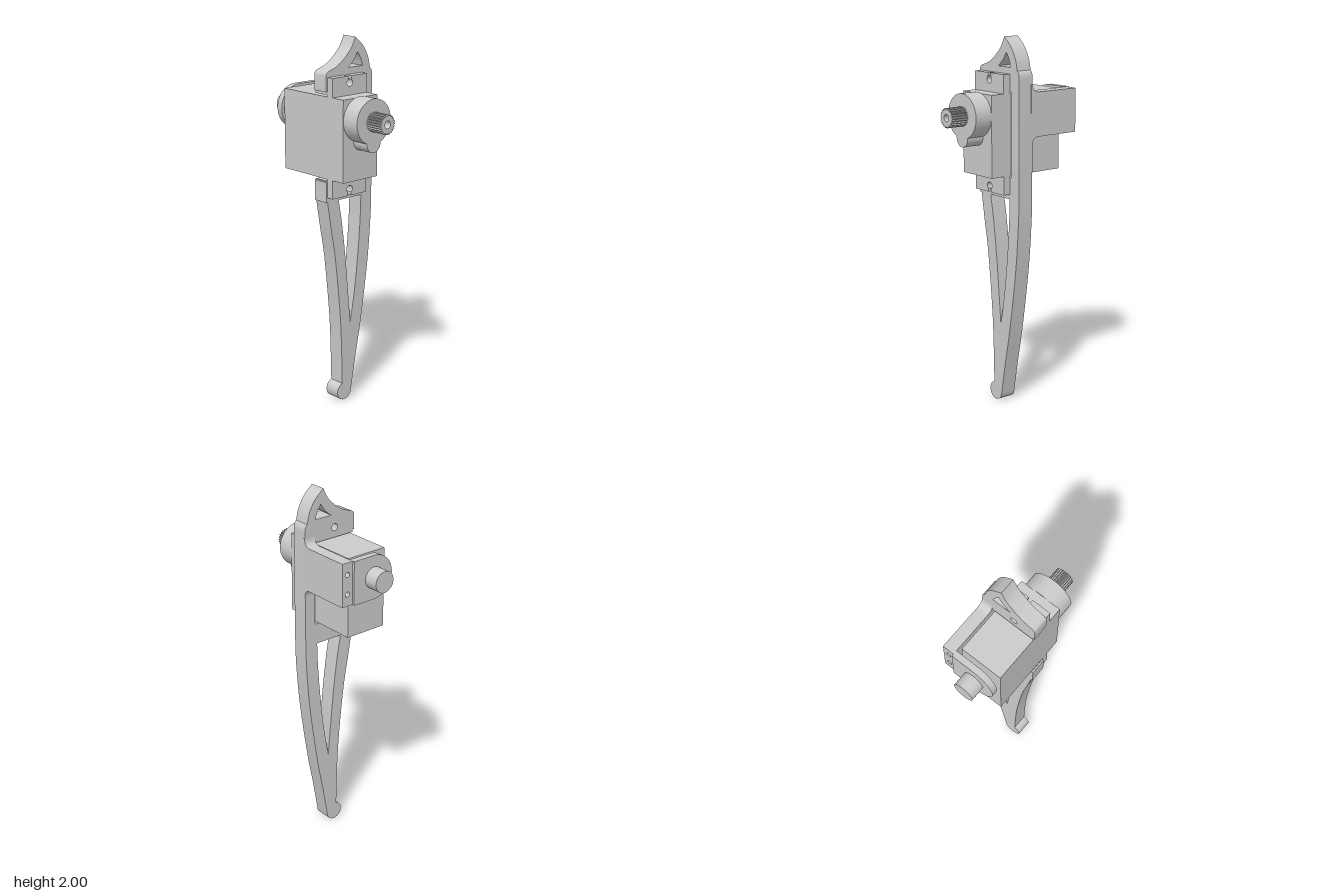
import * as THREE from 'three';
import { toCreasedNormals } from 'three/addons/utils/BufferGeometryUtils.js';

const AXIS_Y = 1.597, AXIS_Z = 0.035;
const material = new THREE.MeshStandardMaterial({ color: 0xcccccc });
const vec = (pts) => pts.map(([x, y]) => new THREE.Vector2(x, y));

function addMesh(group, name, geometry) {
  const mesh = new THREE.Mesh(geometry, material);
  mesh.name = name;
  group.add(mesh);
  return mesh;
}

// Side profile drawn in (-z, y), extruded along x from x0 to x1
function sideExtrude(group, name, shape, x0, x1) {
  const g = new THREE.ExtrudeGeometry(shape, { depth: x1 - x0, bevelEnabled: false, curveSegments: 24 });
  g.rotateY(Math.PI / 2).translate(x0, 0, 0);
  return addMesh(group, name, toCreasedNormals(g, 0.5));
}

function box(group, name, x0, x1, y0, y1, z0, z1) {
  const g = new THREE.BoxGeometry(x1 - x0, y1 - y0, z1 - z0);
  g.translate((x0 + x1) / 2, (y0 + y1) / 2, (z0 + z1) / 2);
  return addMesh(group, name, g);
}

function cylinderX(group, name, r, x0, x1, y, z) {
  const g = new THREE.CylinderGeometry(r, r, x1 - x0, 48);
  g.rotateZ(Math.PI / 2).translate((x0 + x1) / 2, y, z);
  return addMesh(group, name, g);
}

function circleHole(x, y, r) {
  return new THREE.Path().absarc(x, y, r, 0, Math.PI * 2, true);
}

// Curved leg with the servo window, the horn on top and the round foot
function legShape() {
  const s = new THREE.Shape();
  s.absarc(-0.035, 0.05, 0.05, 1.87, 5.98, false);
  s.splineThru(vec([[0.045, 0.22], [0.087, 0.44], [0.135, 0.77], [0.157, 1.03], [0.161, 1.2]]));
  s.lineTo(0.161, 1.79);
  s.quadraticCurveTo(0.16, 1.82, 0.145, 1.83);
  s.splineThru(vec([[0.13, 1.89], [0.095, 1.95], [0.04, 2]]));
  s.splineThru(vec([[0.008, 1.94], [-0.05, 1.885], [-0.095, 1.857], [-0.135, 1.843]]));
  s.quadraticCurveTo(-0.164, 1.835, -0.164, 1.815);
  [[-0.164, 1.735], [-0.155, 1.735], [-0.155, 1.72], [0.097, 1.72], [0.097, 1.265],
    [-0.155, 1.265], [-0.155, 1.26], [-0.164, 1.26], [-0.164, 1.15], [-0.155, 1.15]]
    .forEach(([x, y]) => s.lineTo(x, y));
  s.splineThru(vec([[-0.13, 1], [-0.098, 0.81], [-0.062, 0.45], [-0.05, 0.098]]));

  const gap = new THREE.Path().moveTo(-0.077, 1.15);
  gap.splineThru(vec([[-0.055, 1.03], [-0.031, 0.85], [-0.008, 0.62], [0.008, 0.44]]));
  gap.splineThru(vec([[0.042, 0.64], [0.066, 0.85], [0.08, 1.03], [0.084, 1.15]]));
  const hornGap = new THREE.Path().moveTo(-0.012, 1.845);
  hornGap.quadraticCurveTo(0.03, 1.87, 0.055, 1.92);
  hornGap.quadraticCurveTo(0.082, 1.89, 0.092, 1.845);
  s.holes.push(gap, hornGap, circleHole(-AXIS_Z, 1.775, 0.02), circleHole(-AXIS_Z, 1.21, 0.02));
  return s;
}

// Mounting ear with a hole slotted out to its end; dir is +1 for the top ear
function earShape(dir) {
  const y = (v) => 1.4925 + dir * v;
  const s = new THREE.Shape(), c = -AXIS_Z;
  s.moveTo(-0.155, y(0.21));
  [[0.085, 0.21], [0.085, 0.3175], [c + 0.011, 0.3175]].forEach(([x, v]) => s.lineTo(x, y(v)));
  for (let i = 0; i <= 20; i++) {
    const a = 0.58 + (i / 20) * (Math.PI * 2 - 1.16);
    s.lineTo(c + 0.02 * Math.sin(a), y(0.2825 + 0.02 * Math.cos(a)));
  }
  s.lineTo(c - 0.011, y(0.3175));
  s.lineTo(-0.155, y(0.3175));
  return s;
}

function buildServo() {
  const servo = new THREE.Group();
  servo.name = 'servo';
  box(servo, 'servoBody', -0.26, 0.2, 1.275, 1.71, -0.085, 0.155);
  sideExtrude(servo, 'upperEar', earShape(1), 0.08, 0.12);
  sideExtrude(servo, 'lowerEar', earShape(-1), 0.08, 0.12);
  cylinderX(servo, 'gearHousing', 0.119, 0.2, 0.3, AXIS_Y, AXIS_Z);
  cylinderX(servo, 'smallGearHousing', 0.047, 0.2, 0.3, 1.482, AXIS_Z);

  // Splined output shaft with a screw hole
  const teeth = 24, pts = [];
  for (let i = 0; i < teeth * 4; i++) {
    const a = (i / (teeth * 4)) * Math.PI * 2, r = i % 4 < 2 ? 0.052 : 0.045;
    pts.push(new THREE.Vector2(-AXIS_Z + r * Math.cos(a), AXIS_Y + r * Math.sin(a)));
  }
  const spline = new THREE.Shape(pts);
  spline.holes.push(circleHole(-AXIS_Z, AXIS_Y, 0.02));
  sideExtrude(servo, 'splinedShaft', spline, 0.3, 0.4);
  return servo;
}

function buildBracket() {
  const bracket = new THREE.Group();
  bracket.name = 'pivotBracket';
  // Rear arm with fillets where it joins the leg
  const arm = new THREE.Shape().moveTo(-0.25, 1.48);
  arm.lineTo(-0.05, 1.48);
  arm.quadraticCurveTo(-0.01, 1.48, -0.01, 1.435);
  arm.lineTo(0.0, 1.435);
  arm.lineTo(0.0, 1.76);
  arm.lineTo(-0.01, 1.76);
  arm.quadraticCurveTo(-0.01, 1.715, -0.055, 1.715);
  arm.lineTo(-0.25, 1.715);
  const g = new THREE.ExtrudeGeometry(arm, { depth: 0.066, bevelEnabled: false, curveSegments: 16 });
  addMesh(bracket, 'rearArm', toCreasedNormals(g.translate(0, 0, -0.163), 0.5));

  // Arm end with two screw holes
  const end = new THREE.Shape(vec([[0.097, 1.48], [0.163, 1.48], [0.163, 1.715], [0.097, 1.715]]));
  end.holes.push(circleHole(0.13, 1.545, 0.014), circleHole(0.13, 1.65, 0.014));
  sideExtrude(bracket, 'armEnd', end, -0.308, -0.25);

  // Round-nosed plate and its pivot pin
  const plate = new THREE.Shape().moveTo(0.097, 1.479);
  plate.lineTo(0.097, 1.716);
  plate.lineTo(-AXIS_Z, 1.716);
  plate.absarc(-AXIS_Z, AXIS_Y, 0.119, Math.PI / 2, Math.PI * 1.5, false);
  sideExtrude(bracket, 'pivotPlate', plate, -0.32, -0.285);
  cylinderX(bracket, 'pivotPin', 0.058, -0.4, -0.32, AXIS_Y, AXIS_Z);
  return bracket;
}

export function createModel() {
  const model = new THREE.Group();
  model.name = 'servoLeg';
  sideExtrude(model, 'leg', legShape(), -0.01, 0.08);
  model.add(buildServo(), buildBracket());
  return model;
}
